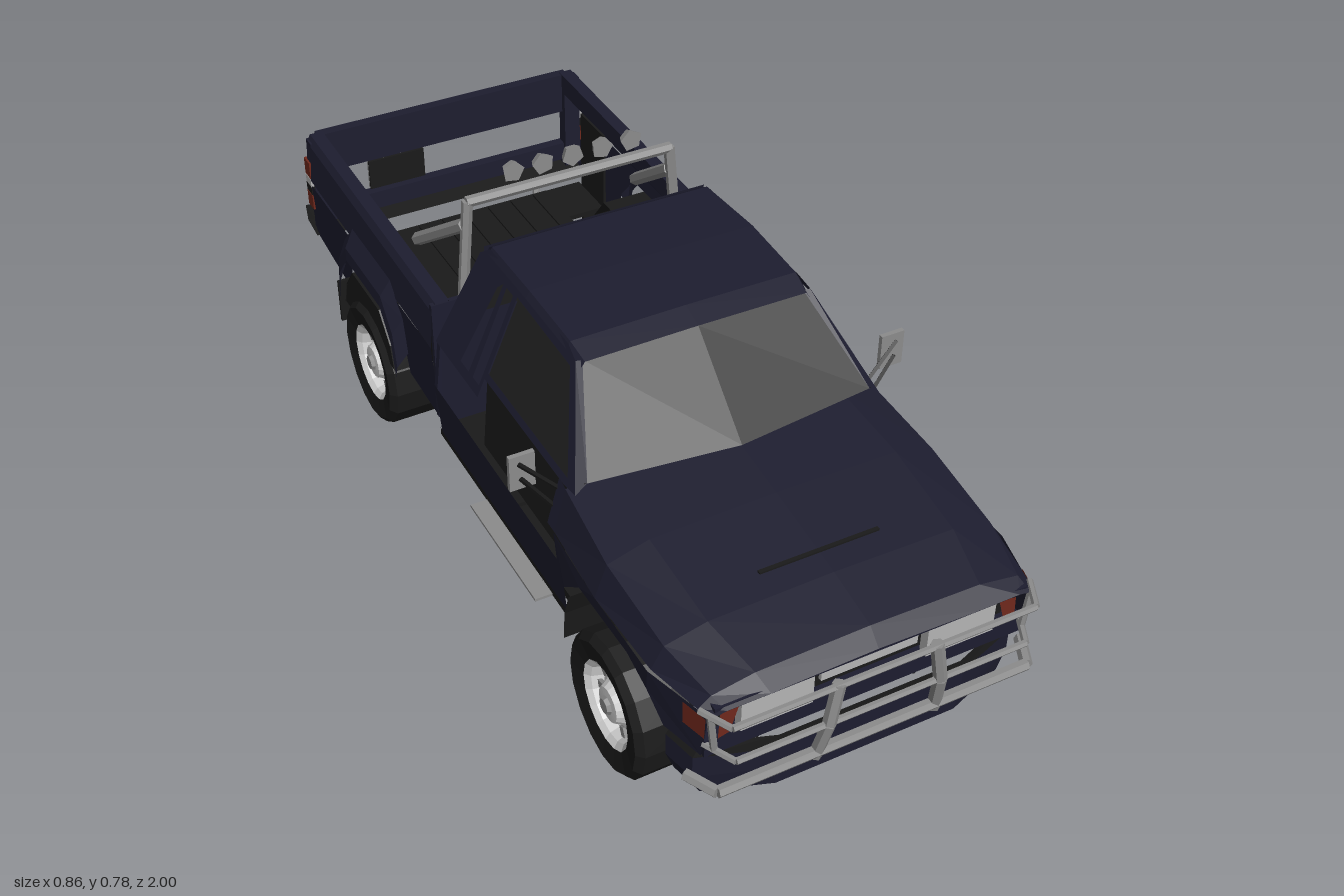
import * as THREE from 'three';

const mat = (name, color) => {
  const m = new THREE.MeshStandardMaterial({ color, side: THREE.DoubleSide });
  m.name = name;
  return m;
};

export function createModel() {
  const navy = mat('navy paint', 0x1d1d2f), black = mat('black trim', 0x1a1a1a), glass = mat('dark glass', 0x212121);
  const steel = mat('steel', 0x8c8c8c), rimMat = mat('bright rim', 0xd2d2d2), lens = mat('clear lens', 0xb4b4b4);
  const red = mat('red lens', 0x70281c);
  const root = new THREE.Group();
  root.name = 'pickupTruck';

  const add = (name, geo, m, parent = root) => {
    const flat = geo.index ? geo.toNonIndexed() : geo;
    flat.computeVertexNormals();
    const mesh = new THREE.Mesh(flat, m);
    mesh.name = name;
    parent.add(mesh);
    return mesh;
  };
  const box = (name, m, w, h, d, x, y, z, parent) => {
    const mesh = add(name, new THREE.BoxGeometry(w, h, d), m, parent);
    mesh.position.set(x, y, z);
    return mesh;
  };
  // Straight bar between two points
  const bar = (name, m, a, b, r = 0.01, sides = 6) => {
    const p = new THREE.Vector3(...a), q = new THREE.Vector3(...b);
    const mesh = add(name, new THREE.CylinderGeometry(r, r, p.distanceTo(q), sides), m);
    mesh.position.copy(p).add(q).multiplyScalar(0.5);
    mesh.quaternion.setFromUnitVectors(new THREE.Vector3(0, 1, 0), q.sub(p).normalize());
    return mesh;
  };
  const path = (name, m, pts, r) => pts.slice(1).forEach((p, i) => bar(name, m, pts[i], p, r));
  // Skin through rows of [x, y, z] points
  const skin = (name, m, rows) => {
    const n = rows[0].length, idx = [];
    for (let i = 0; i < rows.length - 1; i++) for (let j = 0; j < n - 1; j++) {
      const a = i * n + j;
      idx.push(a, a + 1, a + n, a + 1, a + n + 1, a + n);
    }
    const g = new THREE.BufferGeometry();
    g.setAttribute('position', new THREE.Float32BufferAttribute(rows.flat(2), 3));
    g.setIndex(idx);
    return add(name, g, m);
  };
  // Side panel drawn in (z, y), pushed out to x = f(y, z)
  const side = (name, m, s, outline, f, holes = []) => {
    const vec = (pts) => pts.map(([z, y]) => new THREE.Vector2(z, y));
    const shape = new THREE.Shape(vec(outline));
    holes.forEach((h) => shape.holes.push(new THREE.Path(vec(h))));
    const g = new THREE.ShapeGeometry(shape), p = g.attributes.position;
    for (let i = 0; i < p.count; i++) {
      const z = p.getX(i), y = p.getY(i);
      p.setXYZ(i, s * f(y, z), y, z);
    }
    return add(name, g, m);
  };
  const lerp = THREE.MathUtils.mapLinear;
  const both = (fn) => [1, -1].forEach((s) => fn(s, s > 0 ? 'left' : 'right'));

  // Hood with fender shoulders, lofted front to back
  const hoodRow = ([z, w, sideY, edgeY, topY]) => {
    const half = [[w, sideY], [w - 0.025, edgeY], [w - 0.11, topY - 0.005]];
    return [...half.map(([x, y]) => [-x, y, z]), [0, topY, z], ...half.reverse().map(([x, y]) => [x, y, z])];
  };
  skin('hood', navy, [[0.95, 0.325, 0.385, 0.39, 0.395], [0.92, 0.34, 0.385, 0.405, 0.425], [0.8, 0.365, 0.38, 0.425, 0.45],
    [0.6, 0.372, 0.38, 0.45, 0.48], [0.41, 0.36, 0.38, 0.475, 0.507]].map(hoodRow));
  box('hoodVent', black, 0.25, 0.004, 0.008, 0, 0.461, 0.75);

  // Cab roof, windshield, rear wall
  skin('roof', navy, [[0.3, 0.238, 0.66], [0.25, 0.243, 0.676], [0.08, 0.246, 0.684], [-0.1, 0.243, 0.676], [-0.125, 0.238, 0.66]]
    .map(([z, w, y]) => [[-w - 0.009, y - 0.015, z], [-w, y, z], [0, y + 0.002, z], [w, y, z], [w + 0.009, y - 0.015, z]]));
  skin('windshield', glass, [[[-0.305, 0.5, 0.44], [0, 0.5, 0.475], [0.305, 0.5, 0.44]],
    [[-0.238, 0.658, 0.29], [0, 0.662, 0.3], [0.238, 0.658, 0.29]]]);
  skin('cabRearUpper', navy, [[[-0.25, 0.665, -0.125], [0.25, 0.665, -0.125]], [[-0.25, 0.635, -0.13], [0.25, 0.635, -0.13]]]);
  skin('rearWindow', glass, [[[-0.25, 0.635, -0.13], [0.25, 0.635, -0.13]], [[-0.29, 0.48, -0.165], [0.29, 0.48, -0.165]]]);
  skin('cabRearLower', navy, [[[-0.335, 0.48, -0.165], [0.335, 0.48, -0.165]], [[-0.345, 0.2, -0.175], [0.345, 0.2, -0.175]]]);
  skin('dashboard', black, [[[-0.31, 0.5, 0.44], [0.31, 0.5, 0.44]], [[-0.31, 0.47, 0.32], [0.31, 0.47, 0.32]],
    [[-0.31, 0.33, 0.34], [0.31, 0.33, 0.34]]]);
  box('cabFloor', black, 0.66, 0.02, 0.6, 0, 0.19, 0.13);
  box('firewall', black, 0.62, 0.28, 0.01, 0, 0.33, 0.43);

  const lowX = (y, z) => lerp(y, 0.2, 0.38, 0.348, 0.362) + (z > 0.45 ? 0.01 : 0) - Math.max(0, z - 0.8) * 0.27;
  const glassX = (y) => lerp(y, 0.47, 0.67, 0.334, 0.248);
  const bedX = (y) => lerp(y, 0.22, 0.4, 0.342, 0.352);
  const archZ = -0.53;

  both((s, n) => {
    // Front fender with wheel opening
    side(n + 'FrontFender', navy, s, [[0.41, 0.38], [0.41, 0.19], [0.43, 0.19], [0.455, 0.28], [0.53, 0.345], [0.72, 0.352],
      [0.79, 0.325], [0.83, 0.265], [0.92, 0.265], [0.945, 0.385], [0.8, 0.38], [0.6, 0.38]], lowX);
    // Door, sill and rear quarter with openings
    side(n + 'Sill', navy, s, [[0.41, 0.19], [0.41, 0.31], [-0.175, 0.32], [-0.175, 0.19]], lowX);
    side(n + 'SillTrim', black, s, [[0.43, 0.168], [0.43, 0.19], [-0.19, 0.19], [-0.19, 0.172]], () => 0.345);
    side(n + 'DoorInner', black, s, [[0.41, 0.31], [0.41, 0.48], [0.04, 0.48], [0.04, 0.31]],
      (y) => lerp(y, 0.31, 0.48, 0.34, 0.325));
    side(n + 'CowlSide', navy, s, [[0.41, 0.38], [0.38, 0.38], [0.38, 0.48], [0.41, 0.475]], (y) => lerp(y, 0.38, 0.48, 0.36, 0.333));
    side(n + 'RearPost', navy, s, [[-0.16, 0.32], [-0.16, 0.44], [-0.175, 0.44], [-0.175, 0.32]], (y) => lerp(y, 0.32, 0.44, 0.357, 0.343));
    side(n + 'CabFrame', navy, s, [[0.44, 0.48], [0.29, 0.66], [0.25, 0.672], [-0.1, 0.672], [-0.13, 0.65], [-0.17, 0.435],
      [0.04, 0.435], [0.04, 0.475], [0.4, 0.475]], glassX, [
      [[0.4, 0.49], [0.28, 0.645], [0.045, 0.65], [0.045, 0.49]],
      [[0.03, 0.455], [0.03, 0.645], [0.0, 0.645], [0.0, 0.455]],
      [[-0.02, 0.455], [-0.015, 0.645], [-0.03, 0.63], [-0.06, 0.455]]]);
    skin(n + 'FrontPillar', navy, [[[s * 0.33, 0.48, 0.44], [s * 0.252, 0.66, 0.29]], [[s * 0.305, 0.5, 0.44], [s * 0.238, 0.658, 0.29]]]);
    side(n + 'DoorWindow', glass, s, [[0.4, 0.48], [0.28, 0.648], [0.042, 0.652], [0.042, 0.48]], (y) => glassX(y) - 0.006);
    box(n + 'Seat', black, 0.22, 0.09, 0.2, s * 0.15, 0.25, 0.16);

    // Mirror on two arms
    box(n + 'Mirror', steel, 0.052, 0.078, 0.01, s * 0.402, 0.513, 0.365);
    bar(n + 'MirrorArm', black, [s * 0.345, 0.415, 0.38], [s * 0.407, 0.5, 0.372], 0.005, 4);
    bar(n + 'MirrorArm', black, [s * 0.335, 0.455, 0.38], [s * 0.41, 0.535, 0.372], 0.005, 4);

    // Running board
    box(n + 'RunningBoard', steel, 0.04, 0.006, 0.31, s * 0.362, 0.17, 0.205);
    [0.09, 0.32].forEach((z) => bar(n + 'BoardBracket', black, [s * 0.36, 0.165, z], [s * 0.28, 0.185, z], 0.006, 4));

    // Bed side, top rail and flare
    const arch = [[-0.17, 0.22], [-0.155, 0.3], [-0.1, 0.365], [0.1, 0.365], [0.155, 0.3], [0.17, 0.22]].map(([z, y]) => [archZ - z, y]);
    side(n + 'BedSide', navy, s, [[-0.195, 0.4], [-0.195, 0.21], ...arch, [-0.93, 0.255], [-0.935, 0.4]], bedX);
    skin(n + 'BedShoulder', navy, [[0.352, 0.4], [0.345, 0.49], [0.335, 0.508], [0.305, 0.508], [0.305, 0.46]]
      .map(([x, y]) => [[s * x, y, -0.195], [s * x, y + 0.012, -0.935]]));
    skin(n + 'RearFlare', navy, [arch.map(([z, y]) => [s * 0.376, y, z]),
      arch.map(([z, y]) => [s * 0.374, y + 0.03, archZ + (z - archZ) * 1.04]),
      arch.map(([z, y]) => [s * 0.351, y + 0.07, archZ + (z - archZ) * 1.12])]);
    // Black liners around the wheels
    const liner = [[0.15, 0.22], [0.135, 0.28], [0.08, 0.342], [-0.08, 0.342], [-0.13, 0.28], [-0.15, 0.22]].map(([z, y]) => [archZ + z, y]);
    skin(n + 'RearWheelWell', black, [0.26, 0.372].map((x) => liner.map(([z, y]) => [s * x, y, z])));
    side(n + 'RearWheelWellFace', black, s, liner, () => 0.37);
    skin(n + 'FrontWheelWell', black, [0.25, 0.36].map((x) =>
      [[-0.205, 0.13], [-0.2, 0.2], [-0.18, 0.26]].map(([z, y]) => [s * x, y, 0.645 + z])));
    box(n + 'RearMudFlap', black, 0.12, 0.11, 0.008, s * 0.315, 0.2, -0.715);
    box(n + 'BedInnerFront', black, 0.006, 0.2, 0.19, s * 0.303, 0.37, -0.3);
    box(n + 'BedInnerRear', black, 0.006, 0.2, 0.12, s * 0.303, 0.37, -0.75);
    box(n + 'TailPost', navy, 0.04, 0.24, 0.03, s * 0.325, 0.39, -0.923);
    // Tail lamps wrapping round the corner
    [['TailLight', red, 0.042, 0.438], ['TailLens', lens, 0.02, 0.405], ['TailLampBase', black, 0.02, 0.383], ['TailLightLower', red, 0.038, 0.352]]
      .forEach(([part, m, h, y]) => box(n + part, m, 0.036, h, 0.034, s * 0.335, y, -0.927));

    // Headlight and corner lamp
    box(n + 'Headlight', lens, 0.145, 0.078, 0.02, s * 0.19, 0.345, 0.925);
    side(n + 'CornerLamp', red, s, [[0.885, 0.325], [0.89, 0.38], [0.943, 0.38], [0.936, 0.325]], (y, z) => lowX(y, z) + 0.004);
    skin(n + 'CornerLampFront', red, [[[s * 0.268, 0.375, 0.936], [s * 0.305, 0.37, 0.936]],
      [[s * 0.285, 0.318, 0.936], [s * 0.308, 0.312, 0.936]]]);

    // Roll bar leg and brace
    bar(n + 'RollBarLeg', steel, [s * 0.268, 0.3, -0.245], [s * 0.232, 0.698, -0.245], 0.012);
    bar(n + 'RollBarBrace', steel, [s * 0.238, 0.64, -0.25], [s * 0.265, 0.49, -0.46], 0.015);

    // Chassis rail, raised over the rear axle, and leaf springs
    box(n + 'ChassisRail', black, 0.045, 0.04, 1.2, s * 0.17, 0.19, 0.25);
    skin(n + 'ChassisRearRail', black, [0.148, 0.192].map((x) =>
      [[0.17, -0.35], [0.225, -0.5], [0.235, -0.83]].map(([y, z]) => [s * x, y, z])));
    [0.645, archZ].forEach((z) => {
      path(n + 'LeafSpring', black, [[s * 0.17, 0.165, z + 0.2], [s * 0.17, 0.13, z], [s * 0.17, 0.165, z - 0.2]], 0.01);
      box(n + 'SpringClamp', black, 0.05, 0.045, 0.05, s * 0.17, 0.13, z);
    });
  });

  // Grille, front panel and bumper
  box('grilleTop', navy, 0.64, 0.015, 0.03, 0, 0.388, 0.928);
  box('grilleBack', black, 0.6, 0.085, 0.006, 0, 0.348, 0.905);
  box('grilleBar', lens, 0.2, 0.022, 0.008, 0, 0.355, 0.925);
  box('frontPanel', navy, 0.66, 0.04, 0.04, 0, 0.289, 0.91);
  const bumperRow = (y, k) => [[-0.35, 0.83], [-0.335, 0.9], [-0.2, 0.945], [0.2, 0.945], [0.335, 0.9], [0.35, 0.83]]
    .map(([x, z]) => [x * k, y, z]);
  skin('bumperTop', black, [bumperRow(0.27, 0.95), bumperRow(0.24, 1)]);
  skin('frontBumper', navy, [bumperRow(0.24, 1), bumperRow(0.19, 1), bumperRow(0.145, 0.95)]);

  // Bull bar
  const rail = (y, w, z, r) => path('bullBarRail', steel, [[-w, y, z - 0.06], [-w + 0.03, y, z], [w - 0.03, y, z], [w, y, z - 0.06]], r);
  rail(0.386, 0.34, 0.985, 0.007);
  rail(0.3, 0.33, 0.985, 0.007);
  rail(0.22, 0.355, 0.97, 0.012);
  both((s) => {
    path('bullBarUpright', steel, [[s * 0.125, 0.205, 0.965], [s * 0.115, 0.3, 0.985], [s * 0.1, 0.39, 0.983]], 0.013);
    bar('bullBarEnd', steel, [s * 0.33, 0.386, 0.945], [s * 0.32, 0.3, 0.945], 0.007);
  });

  // Bed floor with gaps beside the wheel wells, front wall, tailgate
  box('bedFloor', black, 0.42, 0.012, 0.62, 0, 0.265, -0.515);
  box('bedFloorFront', black, 0.6, 0.012, 0.19, 0, 0.264, -0.3);
  box('bedFloorRear', black, 0.6, 0.012, 0.13, 0, 0.264, -0.76);
  for (let i = -3; i <= 3; i++) box('bedRib', black, 0.02, 0.006, 0.6, i * 0.06, 0.273, -0.515);
  box('bedFrontWall', navy, 0.69, 0.29, 0.012, 0, 0.36, -0.2);
  box('tailgateTop', navy, 0.64, 0.1, 0.025, 0, 0.468, -0.935);
  box('tailgateBottom', navy, 0.64, 0.045, 0.025, 0, 0.308, -0.93);
  box('numberPlate', steel, 0.14, 0.075, 0.006, -0.13, 0.37, -0.943);
  box('numberPlateBack', black, 0.14, 0.075, 0.006, -0.13, 0.37, -0.936);
  skin('rearBumper', black, [[0.285, -0.945], [0.287, -0.998], [0.25, -0.99], [0.24, -0.93]]
    .map(([y, z]) => [[-0.352, y + 0.02, z + 0.02], [-0.28, y, z], [0.28, y, z], [0.352, y + 0.02, z + 0.02]]));

  // Roll bar top and lamps
  bar('rollBarTop', steel, [-0.235, 0.696, -0.245], [0.235, 0.696, -0.245], 0.012);
  for (let i = -2; i <= 2; i++) {
    const lamp = add('roofLamp', new THREE.CylinderGeometry(0.025, 0.018, 0.018, 5), steel);
    lamp.rotation.set(Math.PI / 2, i * 0.4, 0);
    lamp.position.set(i * 0.067 - 0.003, 0.752, -0.232);
  }

  // Underbody: axles, differentials, shafts, engine, exhaust
  [0.645, archZ].forEach((z, i) => {
    bar('axle', black, [-0.29, 0.145, z], [0.29, 0.145, z], 0.02, 8);
    const diff = add('differential', new THREE.IcosahedronGeometry(0.048, 0), black);
    diff.position.set(i ? 0 : -0.05, 0.147, z);
  });
  bar('driveShaft', steel, [0, 0.16, archZ], [0, 0.18, 0.1], 0.012);
  box('gearbox', black, 0.13, 0.07, 0.3, 0, 0.185, 0.25);
  box('transferCase', black, 0.1, 0.04, 0.05, -0.02, 0.145, 0.215);
  box('engine', black, 0.2, 0.09, 0.3, 0, 0.215, 0.58);
  box('fuelTank', black, 0.13, 0.04, 0.36, -0.25, 0.19, -0.05);
  [0.82, 0.42, 0.02, -0.3].forEach((z) => box('crossMember', black, 0.36, 0.03, 0.05, 0, 0.19, z));
  path('exhaust', steel, [[0.09, 0.185, 0.4], [0.11, 0.19, -0.3], [0.12, 0.235, -0.72], [0.21, 0.24, -0.88]], 0.01);
  bar('muffler', steel, [0.1, 0.192, 0.05], [0.108, 0.192, -0.2], 0.022, 8);

  // Wheels
  const lathe = (pts) => new THREE.LatheGeometry(pts.map(([r, y]) => new THREE.Vector2(r, y)), 16);
  [0.645, archZ].forEach((z) => both((s, n) => {
    const wheel = new THREE.Group();
    wheel.name = n + (z > 0 ? 'Front' : 'Rear') + 'Wheel';
    add('tire', lathe([[0, -0.03], [0.088, -0.055], [0.13, -0.064], [0.145, -0.052], [0.146, 0.048], [0.132, 0.062], [0.09, 0.055]]), black, wheel);
    add('rim', lathe([[0.09, 0.055], [0.078, 0.045], [0.07, 0.02], [0.045, 0.035], [0.036, 0.05], [0, 0.052]]), rimMat, wheel);
    for (let i = 0; i < 7; i++) {
      const a = (i / 7) * Math.PI * 2;
      const slot = box('rimSlot', steel, 0.022, 0.008, 0.016, Math.cos(a) * 0.062, 0.03, Math.sin(a) * 0.062, wheel);
      slot.rotation.y = -a;
    }
    add('hubCap', new THREE.CylinderGeometry(0.016, 0.02, 0.01, 8), steel, wheel).position.y = 0.054;
    wheel.rotation.z = -s * Math.PI / 2;
    wheel.position.set(s * 0.32, 0.146, z);
    root.add(wheel);
  }));
  return root;
}
